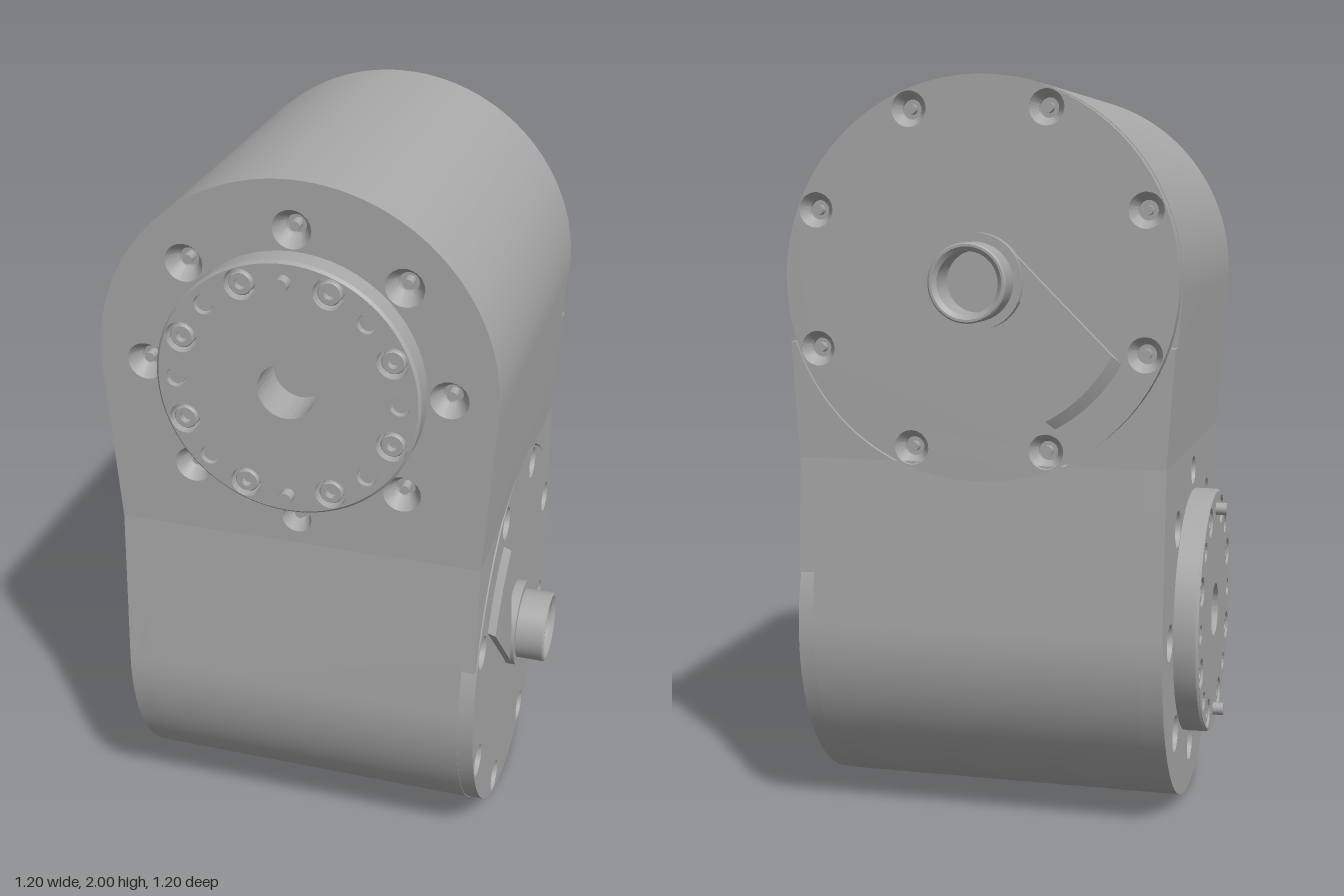
import * as THREE from 'three';
import { toCreasedNormals } from 'three/addons/utils/BufferGeometryUtils.js';

const CY = 0.475;   // axis height of a half above the middle joint
const R = 0.525;    // housing radius
const TAU = Math.PI * 2;

export function createModel() {
  const metal = new THREE.MeshStandardMaterial({ color: 0xa8a8a8, side: THREE.DoubleSide });
  metal.name = 'grey metal';

  const add = (parent, name, geo, x = 0, y = 0, z = 0) => {
    const m = new THREE.Mesh(geo, metal);
    m.name = name;
    m.position.set(x, y, z);
    parent.add(m);
    return m;
  };
  const extrude = (shape, depth) => toCreasedNormals(
    new THREE.ExtrudeGeometry(shape, { depth, bevelEnabled: false, curveSegments: 40 }), 0.5);
  // Lathe turned so that its axis points along +z
  const lathe = (pts, seg = 24) => toCreasedNormals(
    new THREE.LatheGeometry(pts.map(p => new THREE.Vector2(...p)), seg).rotateX(Math.PI / 2), 0.5);
  const hole = (shape, x, y, r) => {
    const p = new THREE.Path();
    p.absarc(x, y, r, 0, TAU, true);
    shape.holes.push(p);
  };
  // n points on a circle
  const ring = (n, r, start = 0) => Array.from({ length: n }, (_, i) => {
    const a = start + i / n * TAU;
    return [r * Math.cos(a), r * Math.sin(a)];
  });
  const disc = r => {
    const s = new THREE.Shape();
    s.absarc(0, 0, r, 0, TAU);
    return s;
  };

  // Rounded housing outline with tangent tapers down to the middle joint
  const outline = () => {
    const s = new THREE.Shape();
    const t = 0.0656;
    s.moveTo(-0.495, 0);
    s.lineTo(0.495, 0);
    s.absarc(0, CY, R, -t, Math.PI + t);
    s.closePath();
    return s;
  };

  // Shared fastener geometries
  const sunkScrew = (r, d) => lathe([[r, 0], [0.026, -d * 0.7], [0.026, -d * 0.95],
    [0.013, -d * 0.95], [0.013, -d * 0.4], [0, -d * 0.4]], 20);
  const capBolt = lathe([[0.031, -0.04], [0.031, -0.008], [0.028, -0.004], [0.015, -0.004],
    [0.015, -0.024], [0, -0.024]], 18);
  const smallScrew = new THREE.CylinderGeometry(0.022, 0.022, 0.03, 16).rotateX(Math.PI / 2);
  const pinGeo = new THREE.CylinderGeometry(0.018, 0.018, 0.09, 18).rotateX(Math.PI / 2);

  const buildHalf = name => {
    const half = new THREE.Group();
    half.name = name;

    // Housing: main block and front plate with screw holes
    add(half, 'housing', extrude(outline(), 0.89), 0, 0, -0.455);
    const face = outline();
    const faceHoles = ring(8, 0.4);
    const sinkR = y => (y < -0.39 ? 0.04 : 0.05);
    faceHoles.forEach(([x, y]) => hole(face, x, CY + y, sinkR(y)));
    hole(face, 0, CY, 0.075);
    add(half, 'frontPlate', extrude(face, 0.06), 0, 0, 0.435);
    faceHoles.forEach(([x, y]) =>
      add(half, 'housingScrew', sunkScrew(sinkR(y), 0.058), x, CY + y, 0.495));

    // Corner rims that embrace the back cover
    for (const s of [-1, 1]) {
      const pts = [[0.495, 0], [0.515, 0.31]];
      for (let i = 0; i <= 16; i++) {
        const a = -0.318 - i / 16 * 0.801;
        pts.push([0.528 * Math.cos(a), CY + 0.528 * Math.sin(a)]);
      }
      const rim = new THREE.Shape(pts.map(([x, y]) => new THREE.Vector2(s * x, y)));
      add(half, 'coverRim', extrude(rim, 0.04), 0, 0, -0.495);
    }

    // Output flange with bolt circle
    const flange = new THREE.Group();
    flange.name = 'outputFlange';
    flange.position.set(0, CY, 0.495);
    half.add(flange);
    const plate = disc(0.338);
    const bolts = ring(8, 0.295, Math.PI / 8);
    const screws = [...ring(4, 0.295, Math.PI / 4), ...ring(2, 0.292)];
    bolts.forEach(([x, y]) => hole(plate, x, y, 0.041));
    screws.forEach(([x, y]) => hole(plate, x, y, 0.026));
    hole(plate, 0, 0, 0.075);
    add(flange, 'flangePlate', extrude(plate, 0.067));
    add(flange, 'flangeEdge', lathe([[0.338, 0.067], [0.345, 0.06], [0.345, 0]], 64));
    bolts.forEach(([x, y]) => add(flange, 'flangeBolt', capBolt, x, y, 0.067));
    screws.forEach(([x, y]) => add(flange, 'flangeScrew', smallScrew, x, y, 0.042));
    ring(2, 0.292, Math.PI / 2).forEach(([x, y]) => add(flange, 'locatingPin', pinGeo, x, y, 0.052));

    // Back side, built facing +z and turned round
    const back = new THREE.Group();
    back.name = 'backSide';
    back.position.set(0, CY, -0.455);
    back.rotation.y = Math.PI;
    half.add(back);

    // Round cover with countersunk screws
    const cover = disc(0.523);
    const coverHoles = ring(8, 0.474, Math.PI / 8);
    coverHoles.forEach(([x, y]) => hole(cover, x, y, 0.046));
    add(back, 'backCover', extrude(cover, 0.043));
    coverHoles.forEach(([x, y]) => add(back, 'coverScrew', sunkScrew(0.046, 0.042), x, y, 0.043));

    // Raised cable arm with a sloping curved end
    const arm = new THREE.Shape();
    const a = Math.asin(0.122 / 0.43);
    arm.moveTo(0, -0.122);
    arm.absarc(0, 0, 0.43, -a, a);
    arm.lineTo(0, 0.122);
    arm.closePath();
    const armGeo = new THREE.ExtrudeGeometry(arm, { depth: 0.018, bevelEnabled: false, curveSegments: 20 });
    const p = armGeo.attributes.position;
    for (let i = 0; i < p.count; i++) {
      if (p.getZ(i) > 0.01 && p.getX(i) > 0.1) p.setX(i, p.getX(i) - 0.03);
    }
    add(back, 'cableArm', toCreasedNormals(armGeo, 0.4), 0, 0, 0.043).rotation.z = -Math.PI / 4;

    // Hollow shaft end with collar
    add(back, 'shaftEnd', lathe([[0.125, 0], [0.125, 0.028], [0.102, 0.028], [0.102, 0.106],
      [0.098, 0.11], [0.092, 0.11], [0.08, 0.1], [0.08, 0.005], [0, 0.005]].map(([r, z]) => [r, z]), 48),
      0, 0, 0.043);
    return half;
  };

  // Two identical halves, the lower one turned about a horizontal diagonal
  const model = new THREE.Group();
  model.name = 'dualAxisJoint';
  const upper = buildHalf('upperHalf');
  const lower = buildHalf('lowerHalf');
  lower.quaternion.setFromAxisAngle(new THREE.Vector3(1, 0, -1).normalize(), Math.PI);
  for (const h of [upper, lower]) {
    h.position.set(-0.008, 1, 0.008);
    model.add(h);
  }
  return model;
}
